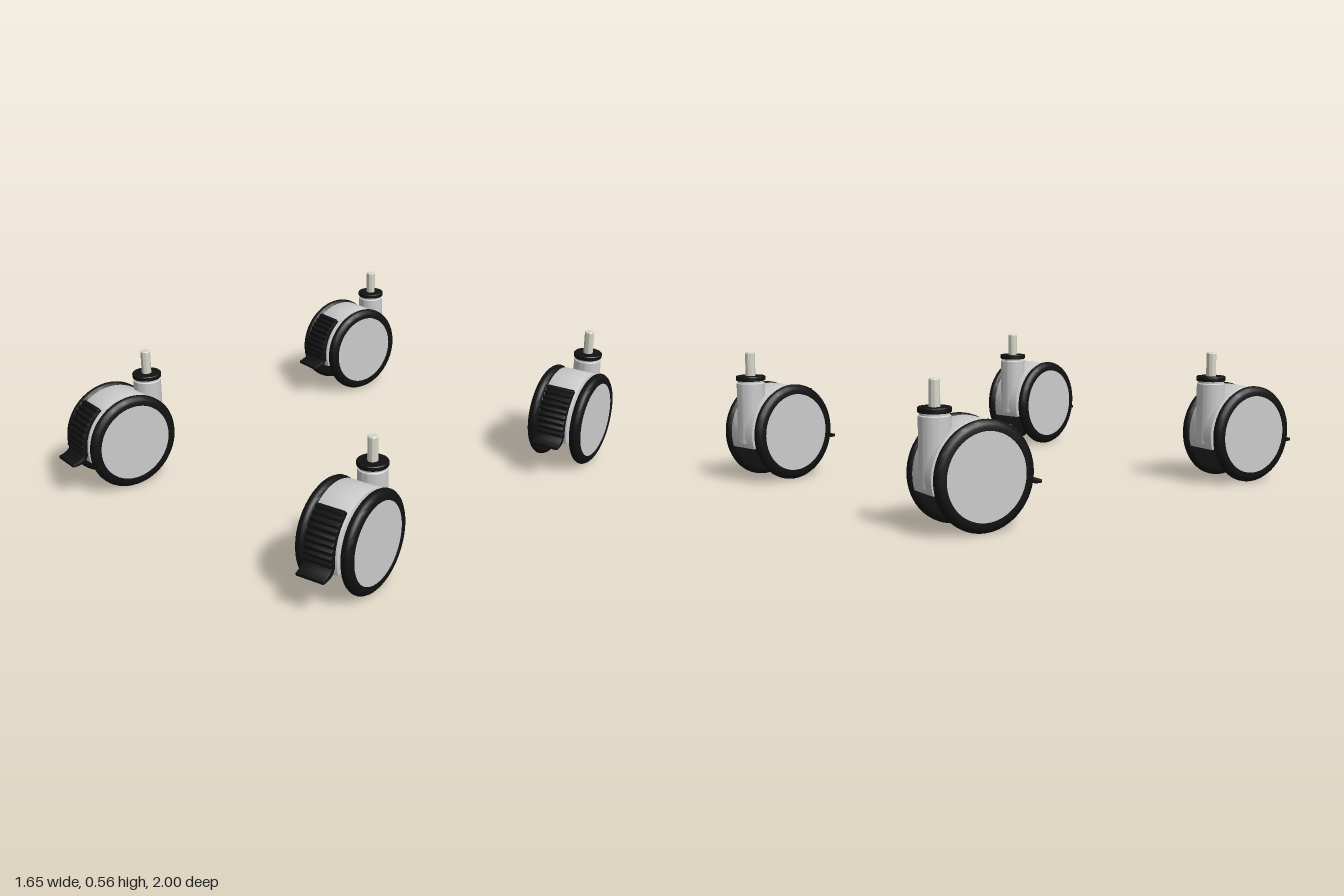
import * as THREE from 'three';
import { toCreasedNormals } from 'three/addons/utils/BufferGeometryUtils.js';

const grey = new THREE.MeshStandardMaterial({ color: 0xcccccc });
const black = new THREE.MeshStandardMaterial({ color: 0x111111 });
const pinMetal = new THREE.MeshStandardMaterial({ color: 0xd6d6c8 });

const R = 0.208;       // wheel radius
const TRAIL = 0.147;   // axle distance in front of the stem
const TOE = 0.148;     // swivel angle of each caster

function part(name, geometry, material, x = 0, y = 0, z = 0) {
  const mesh = new THREE.Mesh(geometry, material);
  mesh.name = name;
  mesh.position.set(x, y, z);
  return mesh;
}

function lathe(points, segments = 48) {
  const g = new THREE.LatheGeometry(points.map(([r, y]) => new THREE.Vector2(r, y)), segments);
  return toCreasedNormals(g, 0.6);
}

// Extrudes a side profile drawn as (z, y) symmetrically across x
function extrudeAcross(shape, width, bevel, curveSegments = 48) {
  const g = new THREE.ExtrudeGeometry(shape, {
    depth: width - 2 * bevel, bevelThickness: bevel, bevelSize: bevel,
    bevelOffset: -bevel, bevelSegments: 2, curveSegments,
  });
  g.translate(0, 0, -(width / 2 - bevel));
  g.rotateY(-Math.PI / 2);
  return toCreasedNormals(g, 0.6);
}

// Wheel: rounded tyre with a recessed cover on its outer face
function wheel(side) {
  const group = new THREE.Group();
  group.name = side > 0 ? 'leftWheel' : 'rightWheel';
  group.add(part('tyre', lathe([
    [0, -0.023], [0.18, -0.023], [0.194, -0.02], [0.203, -0.013], [R, -0.004],
    [R, 0.004], [0.203, 0.013], [0.194, 0.02], [0.184, 0.023],
    [0.168, 0.023], [0.167, 0.017], [0, 0.017],
  ], 64), black));
  group.add(part('wheelCover', new THREE.CylinderGeometry(0.167, 0.167, 0.006, 64), grey, 0, 0.0175));
  group.rotation.z = -side * Math.PI / 2;
  group.position.set(side * 0.1, R, TRAIL);
  return group;
}

// Housing: round hood cut flat along the bottom
function housing() {
  const r = 0.203, cut = -0.058;
  const a = Math.asin(cut / r);
  const shape = new THREE.Shape();
  shape.absarc(0, 0, r, a, Math.PI - a, false);
  shape.closePath();
  return part('housing', extrudeAcross(shape, 0.144, 0.004), grey, 0, R, TRAIL);
}

// Brake pedal: ribbed pad wrapped over the hood, ending in a flared toe
function brakePedal() {
  const inner = 0.196, start = 0.94, end = -0.08, n = 60;
  const shape = new THREE.Shape();
  shape.moveTo(inner * Math.cos(start), inner * Math.sin(start));
  for (let i = 0; i <= n; i++) {
    const t = i / n, a = start + (end - start) * t;
    const r = 0.222 + 0.006 * t - 0.004 * Math.cos(t * Math.PI * 2 * 9);
    shape.lineTo(r * Math.cos(a), r * Math.sin(a));
  }
  shape.quadraticCurveTo(0.238, -0.04, 0.275, -0.046);
  shape.lineTo(0.275, -0.058);
  shape.quadraticCurveTo(0.235, -0.062, 0.212, -0.045);
  shape.lineTo(inner * Math.cos(end), inner * Math.sin(end));
  for (let i = 1; i < 24; i++) {
    const a = end + (start - end) * i / 24;
    shape.lineTo(inner * Math.cos(a), inner * Math.sin(a));
  }
  return part('brakePedal', extrudeAcross(shape, 0.126, 0.004, 8), black, 0, R, TRAIL);
}

function caster() {
  const group = new THREE.Group();
  group.add(wheel(1), wheel(-1), housing(), brakePedal());

  const axle = part('axle', new THREE.CylinderGeometry(0.02, 0.02, 0.17, 24), grey, 0, R, TRAIL);
  axle.rotation.z = Math.PI / 2;
  group.add(axle);

  // Swivel post with a narrow neck under the black collar
  group.add(part('swivelPost', lathe([
    [0, 0.17], [0.06, 0.17], [0.06, 0.428], [0.055, 0.432], [0.055, 0.442], [0, 0.442],
  ]), grey));
  group.add(part('collar', lathe([
    [0, 0.44], [0.06, 0.44], [0.0625, 0.443], [0.0625, 0.457], [0.06, 0.46], [0, 0.46],
  ]), black));
  group.add(part('mountingPin', lathe([
    [0, 0.455], [0.021, 0.455], [0.021, 0.558], [0.018, 0.562], [0, 0.562],
  ], 32), pinMetal));
  return group;
}

export function createModel() {
  const model = new THREE.Group();
  model.name = 'casterSet';
  for (const [zName, z] of [['front', 0.575], ['back', -0.925]]) {
    for (const side of [1, -1]) {
      const c = caster();
      c.name = zName + (side > 0 ? 'Left' : 'Right') + 'Caster';
      c.position.set(side * 0.655, 0, z);
      c.rotation.y = side * TOE;
      model.add(c);
    }
  }
  return model;
}
